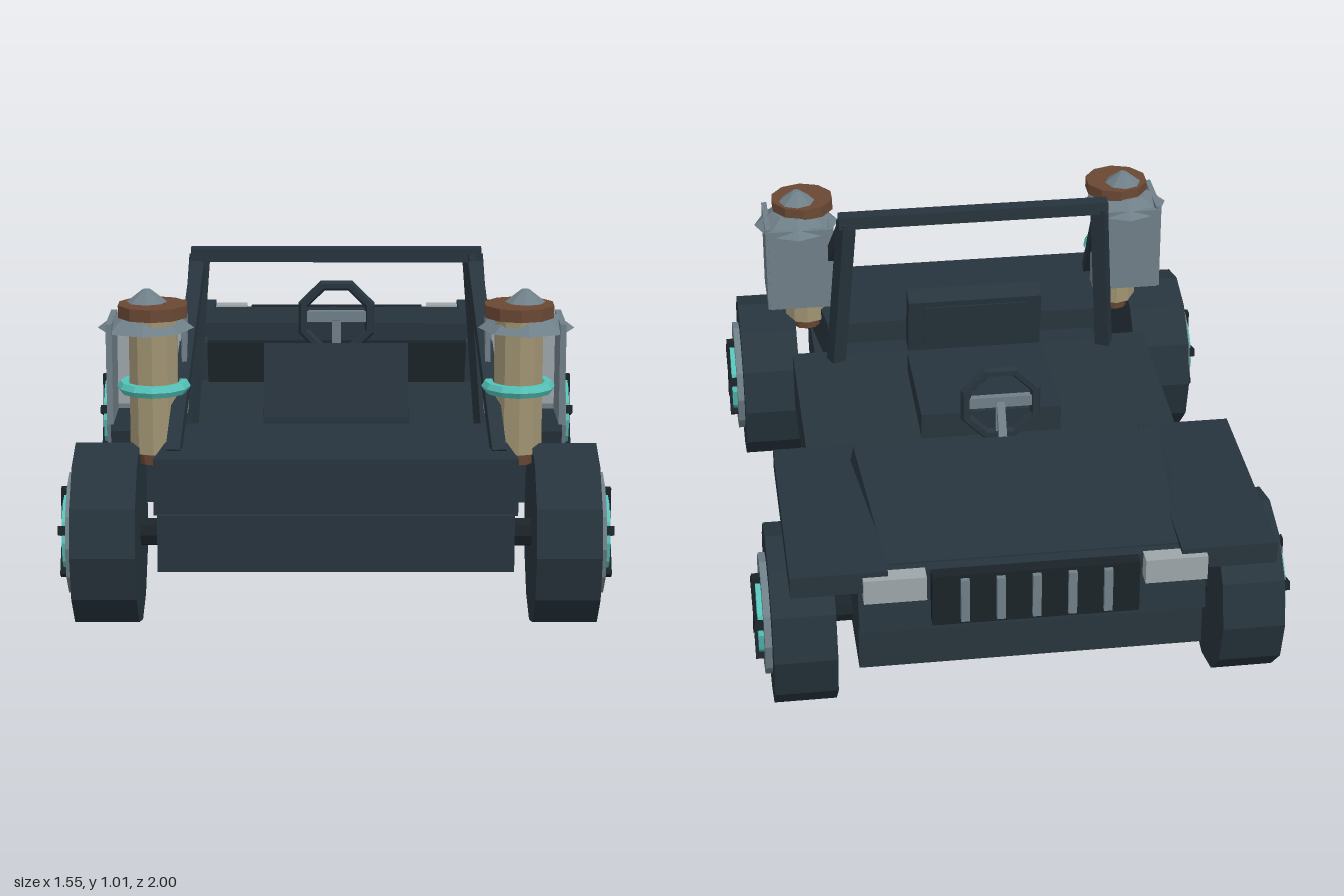
import * as THREE from 'three';

const mat = (name, color) => {
  const m = new THREE.MeshStandardMaterial({ color, flatShading: true });
  m.name = name;
  return m;
};

export function createModel() {
  const body = mat('dark body', 0x27343d);
  const black = mat('black trim', 0x1a2328);
  const grey = mat('steel grey', 0x6f7f88);
  const light = mat('light grey', 0x9da6a9);
  const tan = mat('tan', 0x9f9372);
  const brown = mat('rust brown', 0x6a4834);
  const teal = mat('teal', 0x55c2b8);

  const root = new THREE.Group();
  root.name = 'buggy';
  const add = (name, geo, m, parent = root) => {
    const mesh = new THREE.Mesh(geo, m);
    mesh.name = name;
    parent.add(mesh);
    return mesh;
  };
  const box = (name, m, x0, x1, y0, y1, z0, z1, parent) => {
    const g = new THREE.BoxGeometry(x1 - x0, y1 - y0, z1 - z0);
    g.translate((x0 + x1) / 2, (y0 + y1) / 2, (z0 + z1) / 2);
    return add(name, g, m, parent);
  };
  // Side outline given as [z, y], spread evenly about x = 0
  const slab = (name, m, pts, halfWidth) => {
    const shape = new THREE.Shape(pts.map(p => new THREE.Vector2(...p)));
    const g = new THREE.ExtrudeGeometry(shape, { depth: halfWidth * 2, bevelEnabled: false });
    g.translate(0, 0, -halfWidth).rotateY(-Math.PI / 2);
    return add(name, g, m);
  };
  const beam = (name, m, a, b, w, h = w, parent = root) => {
    const p = new THREE.Vector3(...a), q = new THREE.Vector3(...b);
    const mesh = add(name, new THREE.BoxGeometry(w, h, p.distanceTo(q)), m, parent);
    mesh.position.copy(p).lerp(q, 0.5);
    mesh.lookAt(q);
    return mesh;
  };
  // Change a box's corners by a rule
  const warp = (mesh, rule) => {
    const p = mesh.geometry.attributes.position, v = new THREE.Vector3();
    for (let i = 0; i < p.count; i++) {
      v.fromBufferAttribute(p, i);
      rule(v);
      p.setXYZ(i, v.x, v.y, v.z);
    }
    mesh.geometry.computeVertexNormals();
  };

  // Chassis and tub
  box('chassis', body, -0.49, 0.49, 0.215, 0.375, -0.9, 0.97);
  slab('tub', body, [[0.5, 0.28], [0.5, 0.46], [-0.42, 0.43], [-0.42, 0.28]], 0.57);
  slab('nose', body, [[-0.4, 0.36], [-0.4, 0.53], [-0.91, 0.53], [-0.94, 0.36]], 0.49);
  const deck = box('rearDeck', body, -0.5, 0.5, 0.37, 0.53, 0.55, 0.95);
  warp(deck, v => { if (v.z < 0.6) v.x *= 0.9; });
  box('deckSupport', body, -0.41, 0.41, 0.28, 0.46, 0.48, 0.56);

  // Bonnet, tapering and sloping towards the grille
  const hood = box('hood', body, -0.45, 0.45, 0.5, 0.625, -0.91, -0.375);
  warp(hood, v => {
    const front = v.z < -0.6;
    if (v.y > 0.55) {
      if (front) { v.x *= 0.91; v.y = 0.565; }
    } else v.x *= 1.06;
  });
  box('dashboard', black, -0.41, 0.41, 0.44, 0.57, -0.38, -0.34);
  box('nosePanel', body, -0.42, 0.42, 0.515, 0.56, -0.945, -0.88);
  box('grille', black, -0.29, 0.29, 0.4, 0.56, -0.985, -0.94);
  for (let i = -2; i <= 2; i++)
    box('grilleBar', grey, i * 0.1 - 0.012, i * 0.1 + 0.012, 0.415, 0.55, -1, -0.984);

  // Seat and backrest
  box('seat', body, -0.215, 0.215, 0.42, 0.525, -0.05, 0.35);
  slab('backrest', body, [[0.365, 0.52], [0.44, 0.52], [0.385, 0.73], [0.325, 0.71]], 0.21);
  slab('backrestPad', body, [[0.351, 0.55], [0.361, 0.55], [0.334, 0.69], [0.324, 0.69]], 0.16);

  // Steering wheel
  const steering = new THREE.Group();
  steering.name = 'steeringWheel';
  steering.position.set(0, 0.67, -0.25);
  root.add(steering);
  const rim = new THREE.TorusGeometry(0.112, 0.017, 6, 8);
  rim.rotateZ(Math.PI / 8);
  add('rim', rim, body, steering);
  box('crossSpoke', grey, -0.1, 0.1, -0.012, 0.022, -0.01, 0.01, steering);
  box('lowerSpoke', grey, -0.014, 0.014, -0.1, 0, -0.01, 0.01, steering);
  beam('steeringColumn', grey, [0, 0.67, -0.25], [0, 0.48, -0.36], 0.024);

  // Roll bar
  box('rollBarTop', body, -0.42, 0.42, 0.97, 1.01, 0.345, 0.39);

  const wheel = (s, z) => {
    const w = new THREE.Group();
    w.name = 'wheel';
    w.position.set(0, 0.262, z);
    root.add(w);
    const disc = (name, m, r, x0, x1, n = 12) => {
      const g = new THREE.CylinderGeometry(r, r, x1 - x0, n);
      g.rotateZ(Math.PI / 2).translate(s * (x0 + x1) / 2, 0, 0);
      add(name, g, m, w);
    };
    disc('axle', black, 0.04, 0.45, 0.56, 8);
    disc('tyre', body, 0.26, 0.55, 0.73);
    disc('rimDisc', grey, 0.175, 0.72, 0.75);
    disc('hubGlow', teal, 0.115, 0.74, 0.765);
    for (let i = 0; i < 5; i++) {
      const spoke = box('spoke', black, s * 0.76 - 0.014, s * 0.76 + 0.014, 0, 0.13, -0.013, 0.013, w);
      spoke.rotation.x = i * Math.PI * 2 / 5;
    }
  };

  for (const s of [-1, 1]) {
    const sideBox = (name, m, x0, x1, ...r) =>
      box(name, m, Math.min(s * x0, s * x1), Math.max(s * x0, s * x1), ...r);

    wheel(s, 0.74);
    wheel(s, -0.66);
    sideBox('fender', body, 0.41, 0.68, 0.515, 0.58, -0.97, -0.285);
    sideBox('headlight', light, 0.305, 0.48, 0.49, 0.565, -0.99, -0.94);
    beam('rollBarPost', body, [s * 0.395, 0.99, 0.367], [s * 0.435, 0.44, 0.455], 0.045);
    beam('rollBarBrace', body, [s * 0.4, 0.96, 0.38], [s * 0.45, 0.52, 0.85], 0.04);

    // Exhaust stack with its guard
    const stack = new THREE.Group();
    stack.name = 'exhaustStack';
    stack.position.set(s * 0.51, 0, 0.71);
    root.add(stack);
    const tube = (name, m, r0, r1, y0, y1, n, x = 0, z = 0) => {
      const g = new THREE.CylinderGeometry(r1, r0, y1 - y0, n);
      g.translate(s * x, (y0 + y1) / 2, z);
      add(name, g, m, stack);
    };
    tube('stackFoot', brown, 0.045, 0.05, 0.46, 0.5, 10);
    tube('stackPipe', tan, 0.07, 0.07, 0.495, 0.89, 10);
    tube('stackCap', brown, 0.1, 0.1, 0.88, 0.915, 10);
    tube('capCone', grey, 0.058, 0.012, 0.914, 0.95, 8, 0.018, -0.025);
    const ring = new THREE.TorusGeometry(0.085, 0.018, 6, 12);
    ring.rotateX(Math.PI / 2).translate(0, 0.68, 0);
    add('glowRing', ring, teal, stack);
    tube('guardRoof', grey, 0.135, 0.075, 0.84, 0.885, 8, 0.022, -0.03);
    sideBox('guardOuterPanel', grey, 0.62, 0.637, 0.585, 0.87, 0.58, 0.78);
    sideBox('guardBackPanel', grey, 0.43, 0.63, 0.585, 0.86, 0.575, 0.592);
    sideBox('guardBackLining', light, 0.44, 0.62, 0.6, 0.85, 0.592, 0.597);
    sideBox('guardInnerPanel', grey, 0.42, 0.435, 0.585, 0.86, 0.58, 0.65);
  }
  return root;
}
